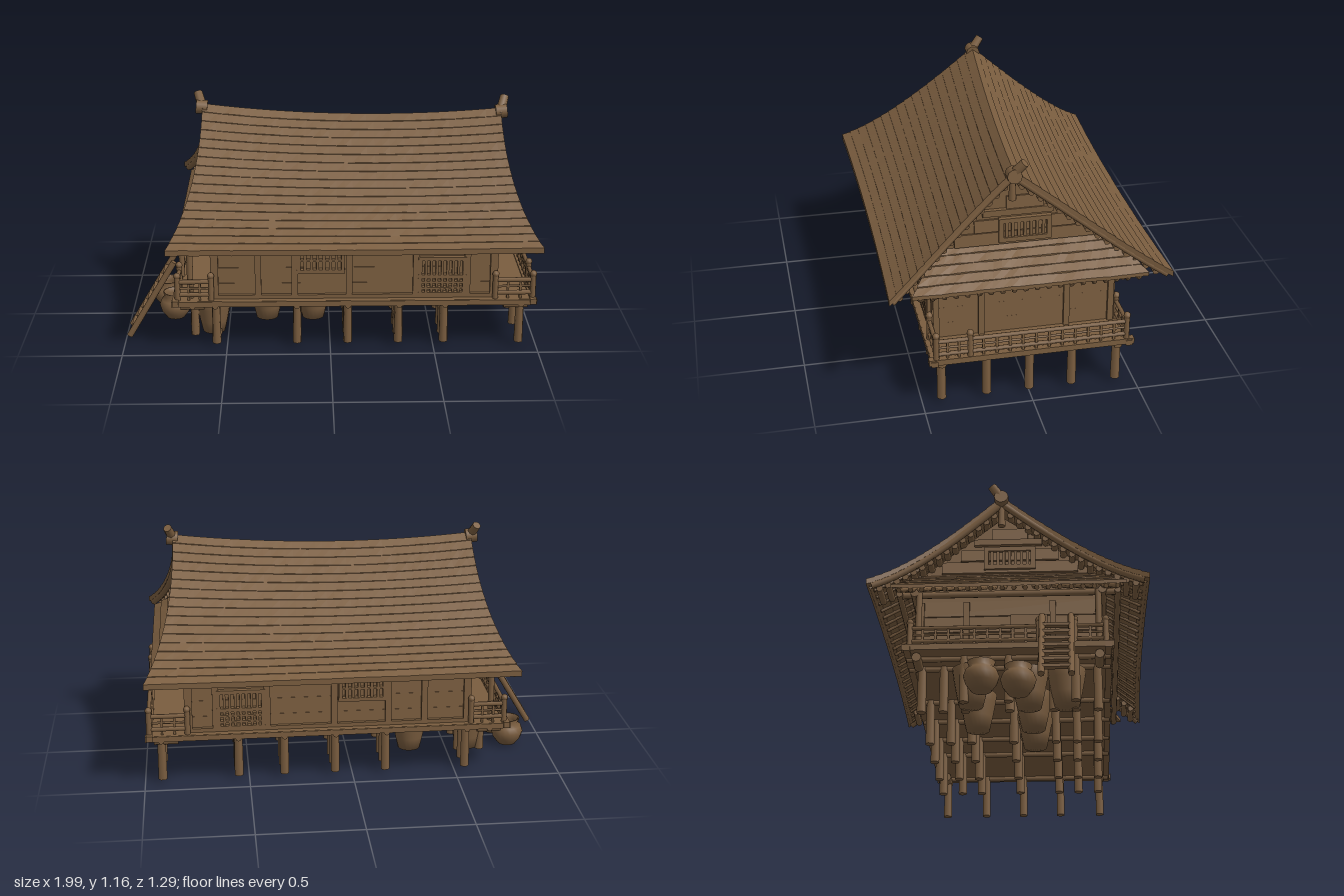
import * as THREE from 'three';

const wood = new THREE.MeshStandardMaterial({ color: 0x7a5d3f, side: THREE.DoubleSide });
wood.name = 'weathered brown';
const V = (x, y, z) => new THREE.Vector3(x, y, z);
const CX = 0.115; // middle of the house along x
const ends = [-1, 1];

let seed = 7;
const rand = () => (seed = (seed * 16807) % 2147483647) / 2147483647;

export function createModel() {
  const model = new THREE.Group();
  model.name = 'stiltHouse';

  const add = (name, geo, x = 0, y = 0, z = 0) => {
    const m = new THREE.Mesh(geo, wood);
    m.name = name;
    m.position.set(x, y, z);
    model.add(m);
    return m;
  };
  const box = (name, w, h, d, x, y, z) => add(name, new THREE.BoxGeometry(w, h, d), x, y, z);
  // round pole between two points
  const pole = (name, a, b, r, r2 = r, sides = 8) => {
    const m = add(name, new THREE.CylinderGeometry(r2, r, a.distanceTo(b), sides));
    m.position.copy(a).lerp(b, 0.5);
    m.quaternion.setFromUnitVectors(V(0, 1, 0), b.clone().sub(a).normalize());
    return m;
  };
  // thick sheet from a grid of top points
  const sheet = (name, grid, thick) => {
    const pos = [];
    const quad = (a, b, c, d) => [a, b, c, a, c, d].forEach(p => pos.push(p.x, p.y, p.z));
    const low = grid.map(r => r.map(p => V(p.x, p.y - thick, p.z)));
    const n = grid.length - 1, m = grid[0].length - 1;
    for (let i = 0; i < n; i++) {
      for (let j = 0; j < m; j++) {
        quad(grid[i][j], grid[i + 1][j], grid[i + 1][j + 1], grid[i][j + 1]);
        quad(low[i][j], low[i][j + 1], low[i + 1][j + 1], low[i + 1][j]);
      }
      quad(low[i][0], low[i + 1][0], grid[i + 1][0], grid[i][0]);
      quad(grid[i][m], grid[i + 1][m], low[i + 1][m], low[i][m]);
    }
    for (let j = 0; j < m; j++) {
      quad(low[0][j], grid[0][j], grid[0][j + 1], low[0][j + 1]);
      quad(grid[n][j], low[n][j], low[n][j + 1], grid[n][j + 1]);
    }
    const g = new THREE.BufferGeometry();
    g.setAttribute('position', new THREE.Float32BufferAttribute(pos, 3));
    g.computeVertexNormals();
    return add(name, g);
  };

  // Thatched main roof: sagging ridge, flared eaves, faint courses
  const roofPoint = (u, v) => {
    const t = Math.abs(v), sag = 1 - u * u;
    return V(
      0.108 + u * (0.725 + 0.147 * t ** 2.2),
      1.105 - 0.555 * t + 0.05 * t ** 4 - sag * (0.03 * (1 - t) + 0.01),
      v * (0.645 - 0.015 * sag) + (0.013 + 0.05 * u) * (1 - t));
  };
  const courses = 17, profile = [];
  for (let i = courses; i > 0; i--) profile.push([i / courses, 0.003], [(i - 1) / courses, 0]);
  const across = [...profile, ...profile.slice().reverse().map(([t, l]) => [-t, l])];
  const roof = [];
  for (let i = 0; i <= 40; i++) {
    roof.push(across.map(([v, lift]) => {
      const p = roofPoint(i / 20 - 1, v);
      p.y += lift ? lift + (rand() - 0.5) * 0.002 : 0;
      return p;
    }));
  }
  sheet('thatchedRoof', roof, 0.027);
  for (const f of ends) {
    const eave = Array.from({ length: 13 }, (_, i) => roofPoint((i / 6 - 1) * 0.98, f * 0.98).add(V(0, -0.017, 0)));
    add('eavePole', new THREE.TubeGeometry(new THREE.CatmullRomCurve3(eave), 30, 0.01, 6));
    for (let i = 0; i < 24; i++) {
      const u = -0.92 + i * 0.08;
      pole('rafter', roofPoint(u, f * 0.62).add(V(0, -0.035, 0)), roofPoint(u, f * 0.96).add(V(0, -0.03, 0)), 0.008, 0.008, 6);
    }
    pole('eavePurlin', V(CX - 0.8, 0.56, f * 0.5), V(CX + 0.8, 0.56, f * 0.5), 0.015);
    pole('wallPlate', V(CX - 0.8, 0.565, f * 0.43), V(CX + 0.8, 0.565, f * 0.43), 0.02);
  }

  // Attic filling, forming both gable walls, sheared to follow the skewed ridge
  const gable = new THREE.Shape([[-0.42, 0.57], [0.42, 0.57], [0.42, 0.71], [0, 1.025], [-0.42, 0.71]]
    .map(([a, b]) => new THREE.Vector2(a, b)));
  const attic = new THREE.ExtrudeGeometry(gable, { depth: 1.33, bevelEnabled: false });
  attic.rotateY(Math.PI / 2).translate(CX - 0.665, 0, 0);
  const ap = attic.attributes.position;
  for (let i = 0; i < ap.count; i++) {
    const rise = Math.max(0, ap.getY(i) - 0.71) / 0.315;
    ap.setZ(i, ap.getZ(i) + rise * (0.013 + 0.065 * (ap.getX(i) - CX)));
  }
  attic.computeVertexNormals();
  add('gableWall', attic);

  for (const s of ends) {
    // Barge poles, purlin ends and ridge finial
    for (const f of ends) {
      const edge = Array.from({ length: 9 }, (_, i) => roofPoint(s * 0.98, f * i / 8.2).add(V(0, -0.03, 0)));
      add('bargePole', new THREE.TubeGeometry(new THREE.CatmullRomCurve3(edge), 24, 0.017, 7));
      for (let i = 1; i < 16; i++) {
        const p = roofPoint(s * 0.97, f * i / 16.5).add(V(0, -0.055, 0));
        pole('purlinEnd', p, p.clone().add(V(-s * 0.15, 0.004, 0)), 0.016, 0.016, 7);
      }
    }
    const top = roofPoint(s, 0);
    pole('ridgeLog', top.clone().add(V(-s * 0.025, -0.02, 0)), top.clone().add(V(s * 0.03, -0.015, 0)), 0.034, 0.034, 10);
    pole('ridgeFinial', top.clone().add(V(-s * 0.005, -0.03, 0.015)), top.clone().add(V(s * 0.022, 0.045, -0.045)), 0.025, 0.021);
    pole('gablePendant', top.clone().add(V(-s * 0.02, -0.15, 0)), top.clone().add(V(-s * 0.02, -0.03, 0)), 0.018, 0.014);
    box('gableBeam', 0.03, 0.03, 0.32, CX + s * 0.67, 0.885, 0.013 + s * 0.02);

    // Gable planks and barred window
    [[0.755, 0.64], [0.82, 0.46], [0.93, 0.17]].forEach(([y, d]) => {
      box('gablePlank', 0.014, 0.06, d, CX + s * 0.67, y, 0).rotation.z = s * 0.06;
    });
    const gx = CX + s * 0.68;
    for (const y of [0.75, 0.845]) box('gableWindowRail', 0.022, 0.022, 0.24, gx, y, 0);
    for (const z of [-0.11, 0.11]) box('gableWindowJamb', 0.022, 0.115, 0.022, gx, 0.797, z);
    for (let i = 0; i < 7; i++) box('gableWindowBar', 0.012, 0.09, 0.014, gx, 0.797, -0.084 + i * 0.028);

    // Lean-to skirt roof below the gable
    const skirt = [];
    for (let i = 0; i <= 24; i++) {
      const w = i / 12 - 1, row = [];
      for (let k = 0; k < 5; k++) for (const e of [0, 1]) {
        const t = (k + e) / 5;
        row.push(V(CX + s * (0.655 + 0.18 * t), 0.725 - 0.14 * t + e * 0.005 + rand() * 0.004, s * w * (0.4 + 0.14 * t)));
      }
      skirt.push(row);
    }
    sheet('skirtRoof', skirt, 0.018);
    for (let i = 0; i < 20; i++) {
      const z = -0.5 + i / 19;
      pole('skirtRafter', V(CX + s * 0.64, 0.67, z * 0.85), V(CX + s * 0.83, 0.565, z), 0.012, 0.012, 6);
    }
    pole('skirtPlate', V(CX + s * 0.77, 0.565, -0.5), V(CX + s * 0.77, 0.565, 0.5), 0.016);
  }

  // House body
  box('wallCore', 1.33, 0.33, 0.81, CX, 0.415, 0);
  for (let i = 0; i < 4; i++) {
    const y = 0.3 + i * 0.08;
    for (const s of ends) {
      box('sidePlank', 1.33, 0.078, 0.012, CX, y, s * 0.406).rotation.x = -s * 0.04;
      box('endPlank', 0.012, 0.078, 0.8, CX + s * 0.666, y, 0).rotation.z = s * 0.04;
    }
  }
  for (const f of ends) {
    for (const x of [-0.55, -0.345, -0.17, 0.09, 0.41, 0.655, 0.78]) box('wallPost', 0.03, 0.31, 0.03, x, 0.415, f * 0.415);
    box('sillBeam', 1.36, 0.025, 0.03, CX, 0.272, f * 0.415);
    // barred window
    for (const y of [0.405, 0.53]) box('windowRail', 0.23, 0.018, 0.03, -0.045, y, f * 0.42);
    for (const x of [-0.15, 0.06]) box('windowJamb', 0.016, 0.13, 0.03, x, 0.467, f * 0.42);
    box('windowCrossbar', 0.21, 0.01, 0.022, -0.045, 0.46, f * 0.422);
    for (let i = 0; i < 6; i++) box('windowBar', 0.014, 0.12, 0.02, -0.12 + i * 0.03, 0.467, f * 0.422);
    // tall lattice window
    for (const y of [0.285, 0.375, 0.465]) box('latticeRail', 0.23, 0.018, 0.03, 0.535, y, f * 0.42);
    for (const x of [0.43, 0.64]) box('latticeJamb', 0.016, 0.19, 0.03, x, 0.375, f * 0.42);
    for (let i = 0; i < 7; i++) box('latticeBar', 0.012, 0.18, 0.02, 0.457 + i * 0.026, 0.375, f * 0.422);
    for (const y of [0.315, 0.345]) box('latticeCrossbar', 0.2, 0.01, 0.024, 0.535, y, f * 0.422);
    pole('verandaPost', V(-0.67, 0.26, f * 0.41), V(-0.67, 0.57, f * 0.41), 0.015);
  }
  for (const s of ends) {
    for (const z of [-0.41, -0.2, 0.2, 0.41]) box('endPost', 0.03, 0.31, 0.028, CX + s * 0.672, 0.415, z);
  }
  box('doorPanel', 0.02, 0.23, 0.17, CX - 0.675, 0.385, 0.09);

  // Deck, joists and stilts
  box('deck', 1.72, 0.02, 0.92, CX, 0.256, 0);
  for (const f of ends) {
    box('deckEdgeBeam', 1.75, 0.026, 0.03, CX, 0.252, f * 0.45);
    box('deckEndBeam', 0.03, 0.028, 0.95, CX + f * 0.855, 0.258, 0);
    for (const s of ends) {
      pole('girderEnd', V(CX + s * 0.72, 0.225, f * 0.41), V(CX + s * 0.835, 0.225, f * 0.41), 0.022);
    }
  }
  for (const x of [-0.66, -0.55, -0.16, 0.085, 0.33, 0.55, 0.915]) {
    pole('joist', V(x, 0.238, -0.46), V(x, 0.238, 0.46), 0.014);
    const rows = x > 0.9 ? [-0.41, -0.2, 0, 0.2, 0.41]
      : x < -0.6 ? [-0.2, 0, 0.3] : [-0.4, -0.3, -0.2, 0, 0.2, 0.3, 0.4];
    for (const z of rows) pole('stilt', V(x, 0.025, z), V(x, 0.25, z), 0.022, 0.02, 7);
  }

  // Veranda railings, with a gap at the ladder
  const railing = (a, b) => {
    const n = Math.max(2, Math.round(a.distanceTo(b) / 0.06));
    for (const y of [0.295, 0.36]) {
      pole('railingRail', V(a.x, y, a.z), V(b.x, y, b.z), 0.011, 0.011, 6);
    }
    pole('railingMidRail', V(a.x, 0.327, a.z), V(b.x, 0.327, b.z), 0.006, 0.006, 6);
    for (let i = 1; i < n; i++) {
      const p = a.clone().lerp(b, i / n);
      box('baluster', 0.011, 0.095, 0.011, p.x, 0.313, p.z);
    }
    for (const p of [a, b]) {
      pole('railingPost', V(p.x, 0.26, p.z), V(p.x, 0.385, p.z), 0.014);
      add('postCap', new THREE.SphereGeometry(0.017, 8, 6), p.x, 0.39, p.z);
    }
  };
  for (const f of ends) {
    railing(V(0.79, 0, f * 0.44), V(0.97, 0, f * 0.44));
    railing(V(-0.73, 0, f * 0.44), V(-0.57, 0, f * 0.44));
  }
  for (const [x, z1, z2] of [[0.97, -0.44, 0.285], [0.97, 0.285, 0.44], [-0.73, -0.44, 0.14], [-0.73, 0.3, 0.44]]) {
    railing(V(x, 0, z1), V(x, 0, z2));
  }

  // Ladder
  const foot = V(-0.985, 0.012, 0.22), head = V(-0.755, 0.4, 0.22);
  for (const z of [-0.065, 0.065]) {
    pole('ladderRail', foot.clone().add(V(0, 0, z)), head.clone().add(V(0, 0, z)), 0.015);
  }
  for (let i = 1; i < 8; i++) {
    const p = foot.clone().lerp(head, i / 8.5);
    box('ladderRung', 0.03, 0.014, 0.13, p.x, p.y, p.z);
  }

  // Open vats and round jars under the floor
  const lathe = (name, pts, x, y, z) =>
    add(name, new THREE.LatheGeometry(pts.map(p => new THREE.Vector2(...p)), 20), x, y, z);
  const vat = [[0, 0], [0.055, 0], [0.068, 0.06], [0.081, 0.13], [0.088, 0.178], [0.079, 0.178], [0.06, 0.03], [0, 0.02]];
  for (const [x, z] of [[-0.08, 0.1], [-0.31, 0.1], [-0.31, -0.16], [-0.57, 0.09], [-0.6, -0.17], [-0.57, 0.26]]) {
    lathe('vat', vat, x, 0.03, z);
  }
  const jar = [[0, 0], [0.045, 0], [0.07, 0.035], [0.08, 0.068], [0.07, 0.095], [0.053, 0.112], [0.062, 0.135], [0.054, 0.135], [0.045, 0.11], [0.05, 0.02], [0, 0.015]];
  for (const [x, z] of [[-0.82, -0.11], [-0.775, 0.05]]) lathe('jar', jar, x, 0.01, z);

  return model;
}
